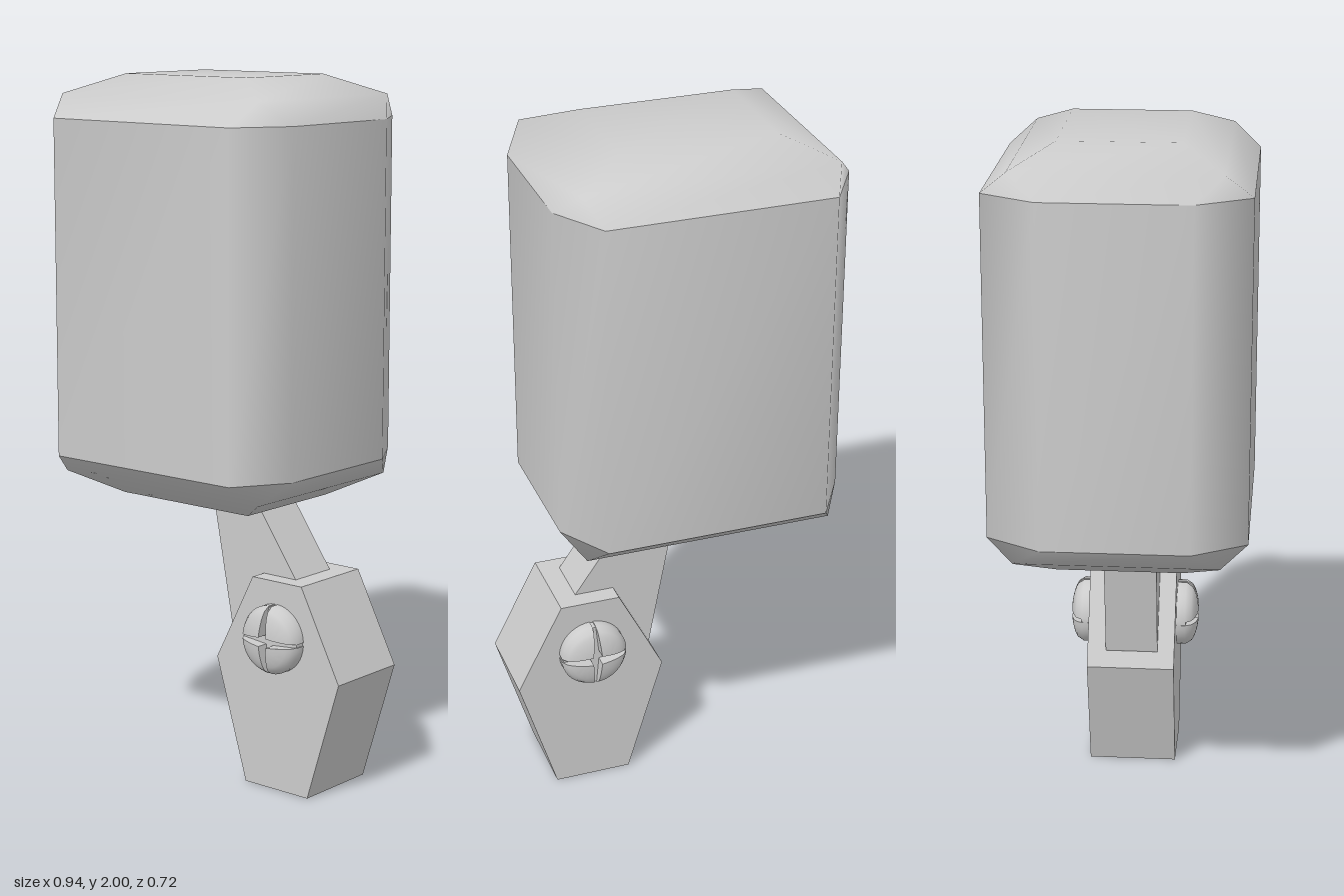
import * as THREE from 'three';
import { mergeVertices, toCreasedNormals } from 'three/addons/utils/BufferGeometryUtils.js';

const material = new THREE.MeshStandardMaterial({ color: 0xcccccc });

function addMesh(parent, name, geometry) {
  const mesh = new THREE.Mesh(geometry, material);
  mesh.name = name;
  parent.add(mesh);
  return mesh;
}

// Eight-point rings, listed counter-clockwise seen from above.
const SIGNS = [[-1, 1], [1, 1], [1, 1], [1, -1], [1, -1], [-1, -1], [-1, -1], [-1, 1]];
const octagon = (y) => SIGNS.map(([sx, sz], i) =>
  i % 4 < 2 ? [sx * 0.32, y, sz * 0.358] : [sx * 0.414, y, sz * 0.205]);
const rectangle = (a, b, y) => SIGNS.map(([sx, sz]) => [sx * a, y, sz * b]);

// Smooth skin through rings ordered from bottom to top.
function loft(rings) {
  const n = SIGNS.length;
  const index = [];
  for (let r = 0; r < rings.length - 1; r++) {
    for (let i = 0; i < n; i++) {
      const a = r * n + i, b = r * n + (i + 1) % n;
      index.push(a, b, b + n, a, b + n, a + n);
    }
  }
  const geometry = new THREE.BufferGeometry();
  geometry.setAttribute('position', new THREE.Float32BufferAttribute(rings.flat(2), 3));
  geometry.setIndex(index);
  const merged = mergeVertices(geometry);
  merged.computeVertexNormals();
  return merged;
}

// Flat plate from an outline in x and y, between two depths.
function plate(points, z0, z1) {
  const shape = new THREE.Shape(points.map(([x, y]) => new THREE.Vector2(x, y)));
  return new THREE.ExtrudeGeometry(shape, { depth: z1 - z0, bevelEnabled: false }).translate(0, 0, z0);
}

// One quarter of a domed screw head, with skirts falling into the cross slot.
function screwQuarter(radius) {
  const nr = 8, na = 12, slot = 0.013, edge = 0.05;
  const geometry = new THREE.PlaneGeometry(1, 1, nr, na);
  const p = geometry.attributes.position;
  for (let i = 0; i < p.count; i++) {
    const col = Math.round((p.getX(i) + 0.5) * nr);
    const row = Math.round((p.getY(i) + 0.5) * na);
    const u = Math.min(col / (nr - 1), 1);
    const v = THREE.MathUtils.clamp((row - 1) / (na - 2), 0, 1);
    const angle = edge + v * (Math.PI / 2 - 2 * edge);
    const x = THREE.MathUtils.lerp(slot, radius * Math.cos(angle), u);
    const y = THREE.MathUtils.lerp(slot, radius * Math.sin(angle), u);
    const r = Math.min(Math.hypot(x, y) / radius, 1);
    const skirt = col === nr || row === 0 || row === na;
    p.setXYZ(i, x, y, skirt ? 0 : 0.026 + 0.038 * Math.sqrt(1 - r * r));
  }
  return toCreasedNormals(geometry, 0.8);
}

function screw(name) {
  const group = new THREE.Group();
  group.name = name;
  const quarter = screwQuarter(0.098);
  for (let i = 0; i < 4; i++) {
    addMesh(group, 'screwHeadQuarter', quarter).rotation.z = i * Math.PI / 2;
  }
  // Floor of the cross slot
  const floor = new THREE.CylinderGeometry(0.095, 0.095, 0.028, 32);
  addMesh(group, 'screwSlotFloor', floor.rotateX(Math.PI / 2).translate(0, 0, 0.014));
  return group;
}

export function createModel() {
  const model = new THREE.Group();
  model.name = 'mountedHousing';

  // Housing: chamfered walls closed by two faceted, smoothly shaded caps
  const housing = new THREE.Group();
  housing.name = 'housing';
  housing.position.x = -0.057;
  addMesh(housing, 'housingWalls', loft([octagon(0.92), octagon(1.88)]));
  addMesh(housing, 'housingTop', loft([
    octagon(1.88), rectangle(0.357, 0.283, 1.945), rectangle(0.22, 0.167, 2), rectangle(0, 0, 2)]));
  addMesh(housing, 'housingBottom', loft([
    rectangle(0, 0, 0.795), rectangle(0.233, 0.175, 0.795), rectangle(0.36, 0.283, 0.86), octagon(0.92)]));
  model.add(housing);

  // Arm running from the housing into the clamp
  addMesh(model, 'arm', plate(
    [[-0.045, 0.9], [0.05, 0.4], [0.08, 0.34], [0.36, 0.49], [0.145, 0.795], [0.07, 0.9]], -0.07, 0.084));

  // Six-sided clamp block
  addMesh(model, 'clamp', plate(
    [[0.135, 0], [0.36, 0], [0.468, 0.352], [0.335, 0.61], [0.16, 0.61], [0.028, 0.352]], -0.125, 0.134));

  // Cross-slotted screws on both faces
  const front = screw('frontScrew');
  front.position.set(0.246, 0.447, 0.134);
  const back = screw('backScrew');
  back.position.set(0.246, 0.447, -0.125);
  back.rotation.y = Math.PI;
  model.add(front, back);

  return model;
}
